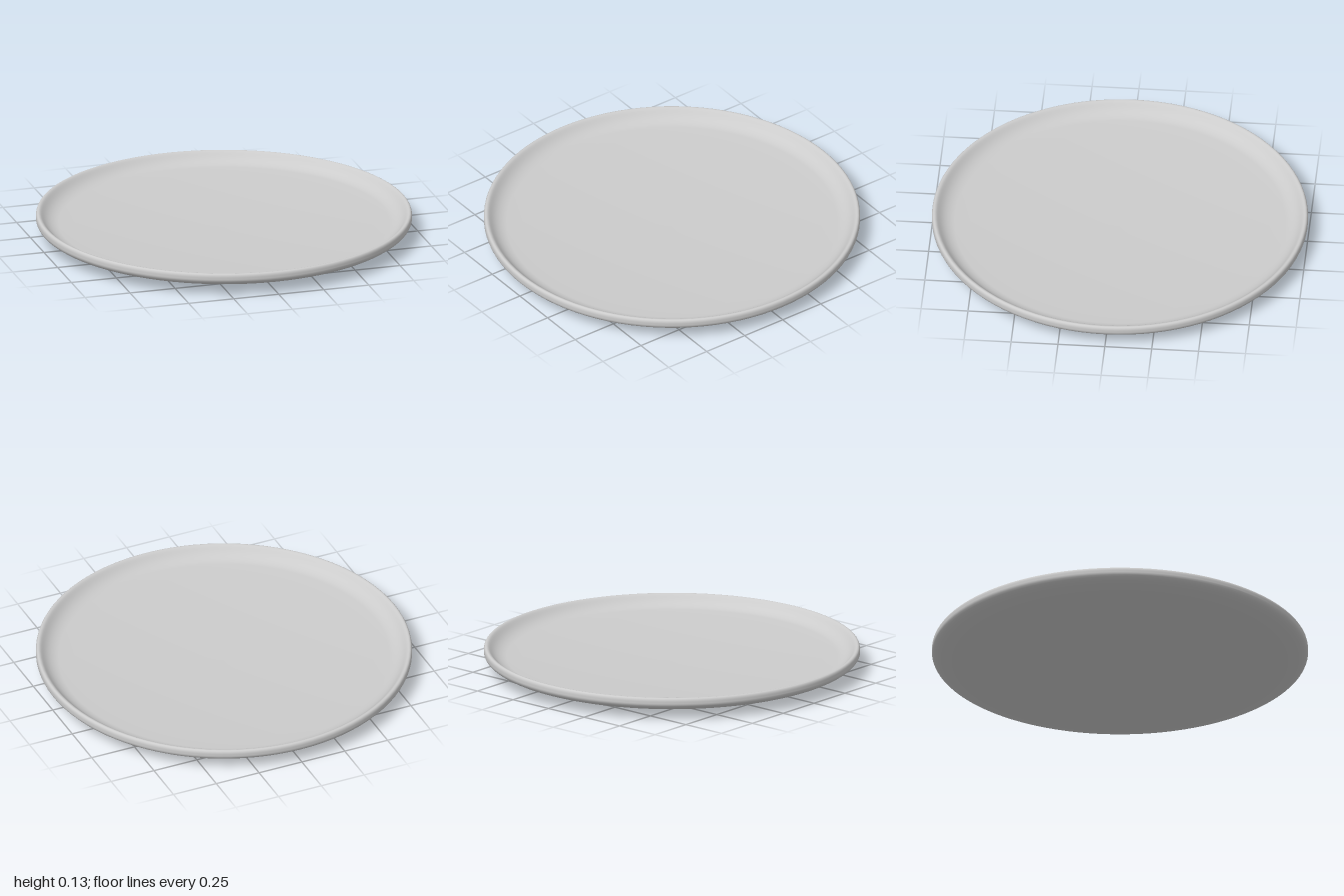
import * as THREE from 'three';

// Shallow round dish: one closed smooth profile turned about the y axis
export function createModel() {
  const group = new THREE.Group();
  group.name = 'dish';

  const v = (r, y) => new THREE.Vector2(r, y);
  const profile = new THREE.Path();
  // gently bowed underside
  profile.moveTo(0, 0.004);
  profile.bezierCurveTo(v(0.3, 0.004).x, 0.004, 0.6, 0.016, 0.84, 0.036);
  // turn up into the outer wall
  profile.bezierCurveTo(0.92, 0.044, 0.995, 0.065, 1, 0.095);
  // rounded lip
  profile.bezierCurveTo(1.002, 0.118, 0.998, 0.131, 0.985, 0.131);
  // inner wall sweeping down to the floor
  profile.bezierCurveTo(0.965, 0.131, 0.955, 0.08, 0.88, 0.071);
  // almost flat floor
  profile.bezierCurveTo(0.6, 0.056, 0.3, 0.048, 0, 0.048);

  const points = profile.getPoints(10);
  points[0].x = 0;
  points[points.length - 1].x = 0;
  points.forEach((p) => { p.x = Math.min(p.x, 1); p.y -= 0.004; });

  const dish = new THREE.Mesh(
    new THREE.LatheGeometry(points, 96),
    new THREE.MeshStandardMaterial({ color: 0xcccccc })
  );
  dish.name = 'plate';
  group.add(dish);
  return group;
}
